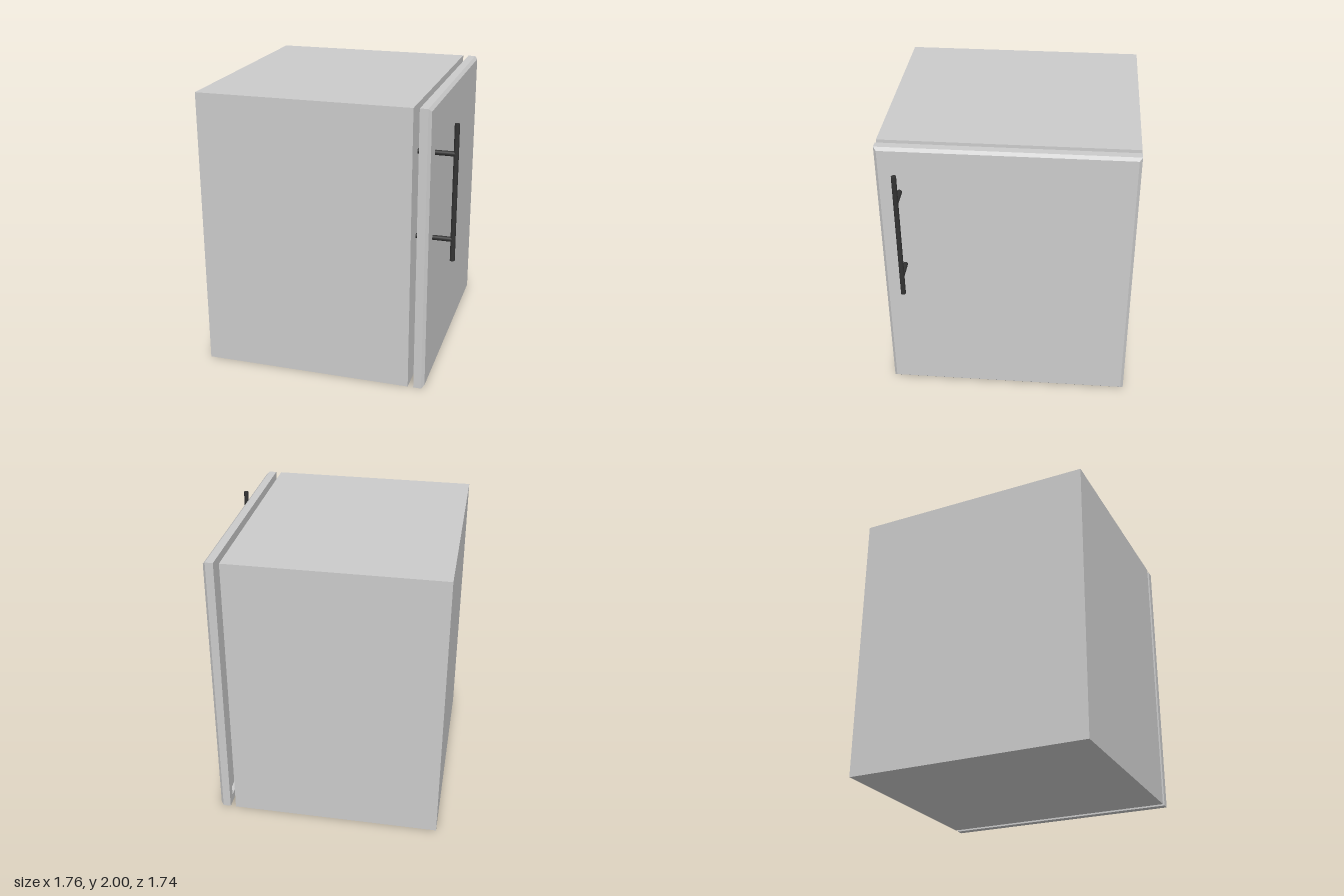
import * as THREE from 'three';

const grey = new THREE.MeshStandardMaterial({ color: 0xcccccc, flatShading: true });
const dark = new THREE.MeshStandardMaterial({ color: 0x333333 });

const HEIGHT = 2, DEPTH = 1.735;
const DOOR_BACK = 0.65, DOOR_FRONT = 0.725, CHAMFER = 0.02, RECESS = 0.03, RIM = 0.06;

function addMesh(parent, name, geometry, material, x, y, z) {
  const mesh = new THREE.Mesh(geometry, material);
  mesh.name = name;
  mesh.position.set(x, y, z);
  parent.add(mesh);
  return mesh;
}

// Slab whose +x face is chamfered all round
function chamferedSlab(thickness) {
  const geo = new THREE.BoxGeometry(thickness, HEIGHT, DEPTH, 2, 1, 1);
  const p = geo.attributes.position;
  for (let i = 0; i < p.count; i++) {
    const x = p.getX(i);
    if (Math.abs(x) < 1e-5) {
      p.setX(i, thickness / 2 - CHAMFER);
    } else if (x > 0) {
      p.setY(i, p.getY(i) - Math.sign(p.getY(i)) * CHAMFER);
      p.setZ(i, p.getZ(i) - Math.sign(p.getZ(i)) * CHAMFER);
    }
  }
  const flat = geo.toNonIndexed();
  flat.computeVertexNormals();
  return flat;
}

function rectangle(PathType, w, h) {
  return new PathType([
    new THREE.Vector2(-w / 2, -h / 2), new THREE.Vector2(w / 2, -h / 2),
    new THREE.Vector2(w / 2, h / 2), new THREE.Vector2(-w / 2, h / 2),
  ]);
}

// Rim around the shallow recess on the inside of the door
function rimGeometry() {
  const shape = rectangle(THREE.Shape, DEPTH, HEIGHT);
  shape.holes.push(rectangle(THREE.Path, DEPTH - 2 * RIM, HEIGHT - 2 * RIM));
  const geo = new THREE.ExtrudeGeometry(shape, { depth: RECESS, bevelEnabled: false });
  return geo.rotateY(Math.PI / 2);
}

export function createModel() {
  const model = new THREE.Group();
  model.name = 'cabinet';

  // Cabinet body
  addMesh(model, 'cabinetBody', new THREE.BoxGeometry(1.495, HEIGHT, DEPTH), grey, -0.1375, HEIGHT / 2, 0);

  // Door, set off from the body by a narrow gap
  const door = new THREE.Group();
  door.name = 'door';
  model.add(door);
  const thickness = DOOR_FRONT - DOOR_BACK - RECESS;
  addMesh(door, 'doorPanel', chamferedSlab(thickness), grey, DOOR_FRONT - thickness / 2, HEIGHT / 2, 0);
  addMesh(door, 'doorRim', rimGeometry(), grey, DOOR_BACK, HEIGHT / 2, 0);

  // Bar handle on two posts that pass through the door
  const handle = new THREE.Group();
  handle.name = 'handle';
  handle.position.z = 0.712;
  model.add(handle);
  const r = 0.017;
  addMesh(handle, 'handleBar', new THREE.CylinderGeometry(r, r, 0.95, 24), dark, 0.863, 1.403, 0);
  for (const y of [1.08, 1.675]) {
    const post = addMesh(handle, 'handlePost', new THREE.CylinderGeometry(r, r, 0.26, 24), dark, 0.733, y, 0);
    post.rotation.z = Math.PI / 2;
  }

  return model;
}
